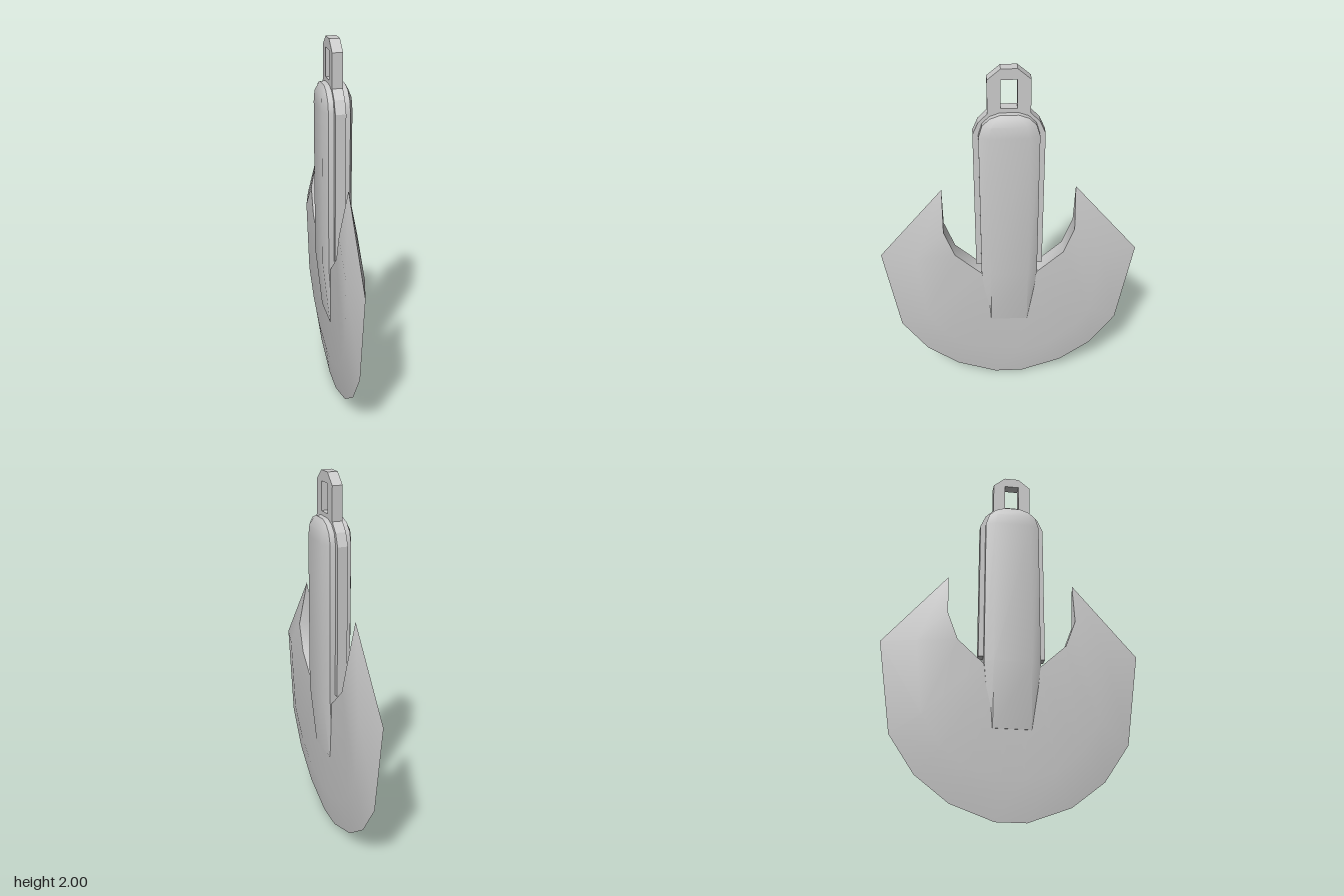
import * as THREE from 'three';
import { toCreasedNormals } from 'three/addons/utils/BufferGeometryUtils.js';

const material = new THREE.MeshStandardMaterial({ color: 0xcccccc });

// Skin a row of equal-length closed rings of [x, y, z] points, capping the ends.
function loft(rings, crease) {
  const tris = [];
  const n = rings[0].length;
  const add = (...p) => {
    const [a, b, c] = p.map((q) => new THREE.Vector3(...q));
    if (new THREE.Triangle(a, b, c).getArea() > 1e-7) tris.push([a, b, c]);
  };
  for (let i = 0; i < rings.length - 1; i++) {
    for (let j = 0; j < n; j++) {
      const k = (j + 1) % n;
      add(rings[i][j], rings[i][k], rings[i + 1][k]);
      add(rings[i][j], rings[i + 1][k], rings[i + 1][j]);
    }
  }
  const last = rings[rings.length - 1];
  for (let j = 1; j < n - 1; j++) {
    add(rings[0][0], rings[0][j + 1], rings[0][j]);
    add(last[0], last[j], last[j + 1]);
  }
  // Turn the skin outward if its signed volume is negative.
  const volume = tris.reduce((s, [a, b, c]) => s + a.dot(b.clone().cross(c)), 0);
  if (volume < 0) tris.forEach((t) => t.reverse());
  const geometry = new THREE.BufferGeometry().setFromPoints(tris.flat());
  return toCreasedNormals(geometry, crease);
}

function part(name, geometry) {
  const mesh = new THREE.Mesh(geometry, material);
  mesh.name = name;
  return mesh;
}

// Crescent blade: sharp outer edge, bevel ridge, thick inner edge.
function bladeGeometry() {
  // Each station: outer [z, y], ridge [z, y, half thickness], inner [z, y, half thickness]
  const stations = [
    [[0.345, 1.33], [0.345, 1.33, 0], [0.345, 1.33, 0]],
    [[0.69, 0.92], [0.5, 0.92, 0.047], [0.345, 1.09, 0.047]],
    [[0.615, 0.42], [0.46, 0.52, 0.042], [0.29, 0.94, 0.047]],
    [[0.48, 0.22], [0.36, 0.36, 0.036], [0.15, 0.81, 0.047]],
    [[0.305, 0.085], [0.23, 0.25, 0.031], [0.1, 0.8, 0.047]],
    [[0.08, 0.003], [0.06, 0.2, 0.028], [0.04, 0.8, 0.047]],
  ];
  const ring = ([o, m, i], side) => [
    [0, o[1], side * o[0]],
    [m[2], m[1], side * m[0]],
    [i[2], i[1], side * i[0]],
    [-i[2], i[1], side * i[0]],
    [-m[2], m[1], side * m[0]],
  ];
  const rings = stations.map((s) => ring(s, 1));
  rings.push(...stations.slice().reverse().map((s) => ring(s, -1)));
  return loft(rings, 0.6);
}

// Bevelled grip: rounded at the top, tapering into the blade below.
function gripGeometry() {
  // Rows: y, rim half depth, rim half width, face half depth, face half width
  const rows = [
    [0.465, 0.112, 0.025, 0.1, 0.039],
    [0.82, 0.15, 0.055, 0.1, 0.077],
    [1.66, 0.15, 0.055, 0.1, 0.077],
    [1.72, 0.132, 0.055, 0.088, 0.075],
    [1.757, 0.095, 0.055, 0.06, 0.063],
    [1.775, 0.045, 0.054, 0.035, 0.055],
  ];
  return loft(rows.map(([y, rz, rx, fz, fx]) => [
    [rx, y, rz], [fx, y, fz], [fx, y, -fz], [rx, y, -rz],
    [-rx, y, -rz], [-fx, y, -fz], [-fx, y, fz], [-rx, y, rz],
  ]), 0.6);
}

// Flat spine plate with the hanging loop on top.
function spineGeometry() {
  const half = [[0.178, 0.86], [0.178, 1.66], [0.15, 1.725], [0.105, 1.77], [0.105, 1.945], [0.04, 2]];
  const outline = [...half, ...half.slice().reverse().map(([z, y]) => [-z, y])];
  const shape = new THREE.Shape(outline.map(([z, y]) => new THREE.Vector2(z, y)));
  const hole = [[-0.04, 1.797], [-0.04, 1.945], [0.04, 1.945], [0.04, 1.797]];
  shape.holes.push(new THREE.Path(hole.map(([z, y]) => new THREE.Vector2(z, y))));
  const depth = 0.054;
  return new THREE.ExtrudeGeometry(shape, { depth, bevelEnabled: false })
    .translate(0, 0, -depth / 2)
    .rotateY(-Math.PI / 2);
}

export function createModel() {
  const model = new THREE.Group();
  model.name = 'crescentBladePendant';
  model.add(
    part('blade', bladeGeometry()),
    part('grip', gripGeometry()),
    part('spineWithLoop', spineGeometry()),
  );
  return model;
}
